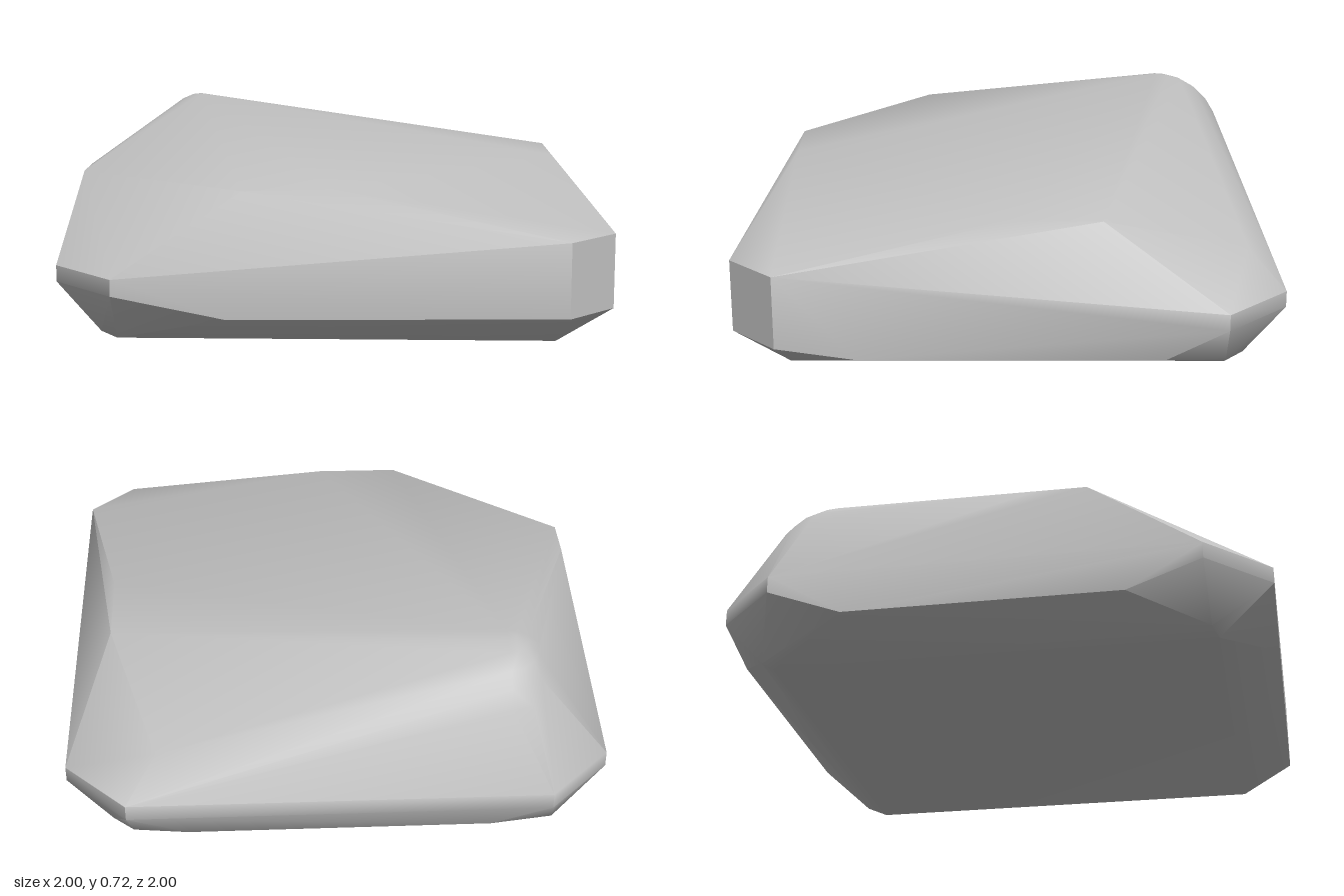
import * as THREE from 'three';
import { ConvexGeometry } from 'three/addons/geometries/ConvexGeometry.js';
import { toCreasedNormals } from 'three/addons/utils/BufferGeometryUtils.js';

export function createModel() {
  const group = new THREE.Group();
  group.name = 'rock';
  const stone = new THREE.MeshStandardMaterial({ color: 0xc0c0c0 });
  stone.name = 'grey stone';

  // Flat underside, with its edges rolled slightly upwards
  const base = [
    [-0.78, 0, 0.8], [0.8, 0, 0.8], [0.8, 0, -0.78], [-0.78, 0, -0.8],
    [-0.84, 0.02, 0.78], [0.84, 0.02, -0.78], [-0.8, 0.02, -0.84], [0.76, 0.02, -0.85],
  ];

  // Chamfered waist: vertical side faces
  const waist = [
    // front side and its tall left corner
    [0.83, 0.4, 1], [0.83, 0.13, 1], [-0.37, 0.12, 1], [-0.77, 0.2, 1], [-0.77, 0.26, 1],
    // left side
    [1, 0.4, 0.83], [1, 0.13, 0.83], [1, 0.09, 0.55], [1, 0.09, -0.55], [1, 0.2, -0.77], [1, 0.26, -0.77],
    // back side
    [0.77, 0.26, -1], [0.77, 0.2, -1], [-0.77, 0.26, -1], [-0.77, 0.2, -1],
    [0.55, 0.12, -0.985], [-0.55, 0.12, -0.985],
    // right side
    [-1, 0.26, -0.77], [-1, 0.2, -0.77], [-1, 0.1, -0.5], [-1, 0.1, 0.5], [-1, 0.2, 0.77], [-1, 0.26, 0.77],
  ];

  // Upper shoulder ring
  const shoulder = [
    [-0.32, 0.55, 0.86], [0, 0.557, 0.85], [0.845, 0.553, 0], [0.84, 0.55, -0.33],
    [-0.96, 0.54, 0.2], [-0.96, 0.54, 0.37], [0.66, 0.39, -0.87],
  ];

  // Rounded peak at the back right: part of an ellipsoid facing outwards
  const peak = [[-0.62, 0.72, -0.62]];
  for (const tilt of [0.2, 0.4, 0.65, 0.9, 1.15]) {
    for (let i = 0; i <= 4; i++) {
      const turn = (i / 4) * (Math.PI / 2);
      peak.push([
        -0.62 - 0.2 * Math.sin(tilt) * Math.cos(turn),
        0.44 + 0.28 * Math.cos(tilt),
        -0.62 - 0.28 * Math.sin(tilt) * Math.sin(turn),
      ]);
    }
  }

  // Smooth shading, with only the steepest edges kept sharp
  const points = [...base, ...waist, ...shoulder, ...peak].map((p) => new THREE.Vector3(...p));
  const geometry = toCreasedNormals(new ConvexGeometry(points), 0.77);
  const boulder = new THREE.Mesh(geometry, stone);
  boulder.name = 'boulder';
  group.add(boulder);
  return group;
}
